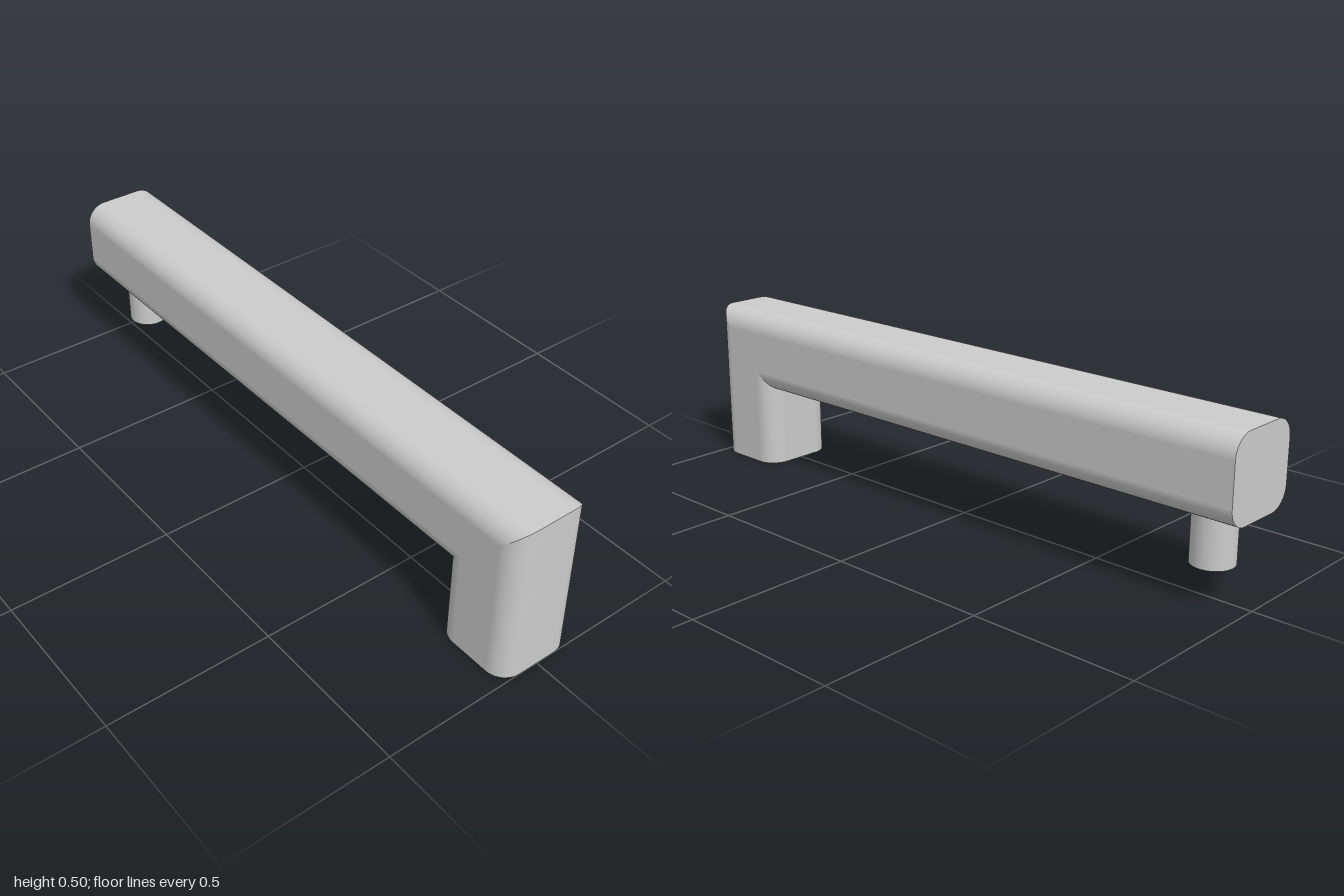
import * as THREE from 'three';

const HALF = 0.125;    // half thickness of the bar
const ROUND = 0.062;   // radius of the long edges
const PEG_R = 0.0625;
const PEG_L = 0.15;
const MID_Y = 0.375;   // centre height of the bar
const LEG_X = 0.875;   // centre of the leg

// Rounded-square profile: u runs along z, v across the bar, with outward normals
function roundedProfile(steps = 10) {
  const points = [];
  const c = HALF - ROUND;
  for (let q = 0; q < 4; q++) {
    const su = q === 0 || q === 3 ? 1 : -1;
    const sv = q < 2 ? 1 : -1;
    for (let i = 0; i <= steps; i++) {
      const a = (q + i / steps) * Math.PI / 2;
      const nu = Math.cos(a), nv = Math.sin(a);
      points.push({ u: su * c + ROUND * nu, v: sv * c + ROUND * nv, nu, nv });
    }
  }
  return points;
}

// Skin between two sections of the profile
function skin(profile, start, end, normal) {
  const pos = [], nor = [], index = [];
  const n = profile.length;
  profile.forEach((p, i) => {
    pos.push(...start(p), ...end(p));
    nor.push(...normal(p), ...normal(p));
    const a = 2 * i, b = 2 * ((i + 1) % n);
    index.push(a, a + 1, b, b, a + 1, b + 1);
  });
  const geo = new THREE.BufferGeometry();
  geo.setAttribute('position', new THREE.Float32BufferAttribute(pos, 3));
  geo.setAttribute('normal', new THREE.Float32BufferAttribute(nor, 3));
  geo.setIndex(index);
  return geo;
}

export function createModel() {
  const group = new THREE.Group();
  const material = new THREE.MeshStandardMaterial({ color: 0xcccccc });
  const add = (name, geometry, mat = material) => {
    const mesh = new THREE.Mesh(geometry, mat);
    mesh.name = name;
    group.add(mesh);
  };

  const profile = roundedProfile();
  const capShape = () => new THREE.Shape(profile.map(p => new THREE.Vector2(p.u, p.v)));

  // Bar and leg meet in a mitre
  const mitre = p => [LEG_X + p.v, MID_Y + p.v, p.u];
  add('bar', skin(profile, p => [-1, MID_Y + p.v, p.u], mitre, p => [0, p.nv, p.nu]));
  add('leg', skin(profile, mitre, p => [LEG_X + p.v, 0, p.u], p => [p.nv, 0, p.nu]));

  // Flat end of the bar
  add('barEnd', new THREE.ShapeGeometry(capShape()).rotateY(-Math.PI / 2).translate(-1, MID_Y, 0));

  // Foot of the leg with its socket
  const foot = capShape();
  foot.holes.push(new THREE.Path().absarc(0, 0, PEG_R, 0, Math.PI * 2, true));
  add('legFoot', new THREE.ShapeGeometry(foot, 24).rotateX(Math.PI / 2).translate(LEG_X, 0, 0));
  const inside = material.clone();
  inside.side = THREE.DoubleSide;
  add('socketWall', new THREE.CylinderGeometry(PEG_R, PEG_R, PEG_L, 48, 1, true)
    .translate(LEG_X, PEG_L / 2, 0), inside);
  add('socketEnd', new THREE.CircleGeometry(PEG_R, 48).rotateX(Math.PI / 2).translate(LEG_X, PEG_L, 0));

  // Peg under the free end
  add('peg', new THREE.CylinderGeometry(PEG_R, PEG_R, PEG_L, 48)
    .translate(-LEG_X, MID_Y - HALF - PEG_L / 2, 0));

  return group;
}
